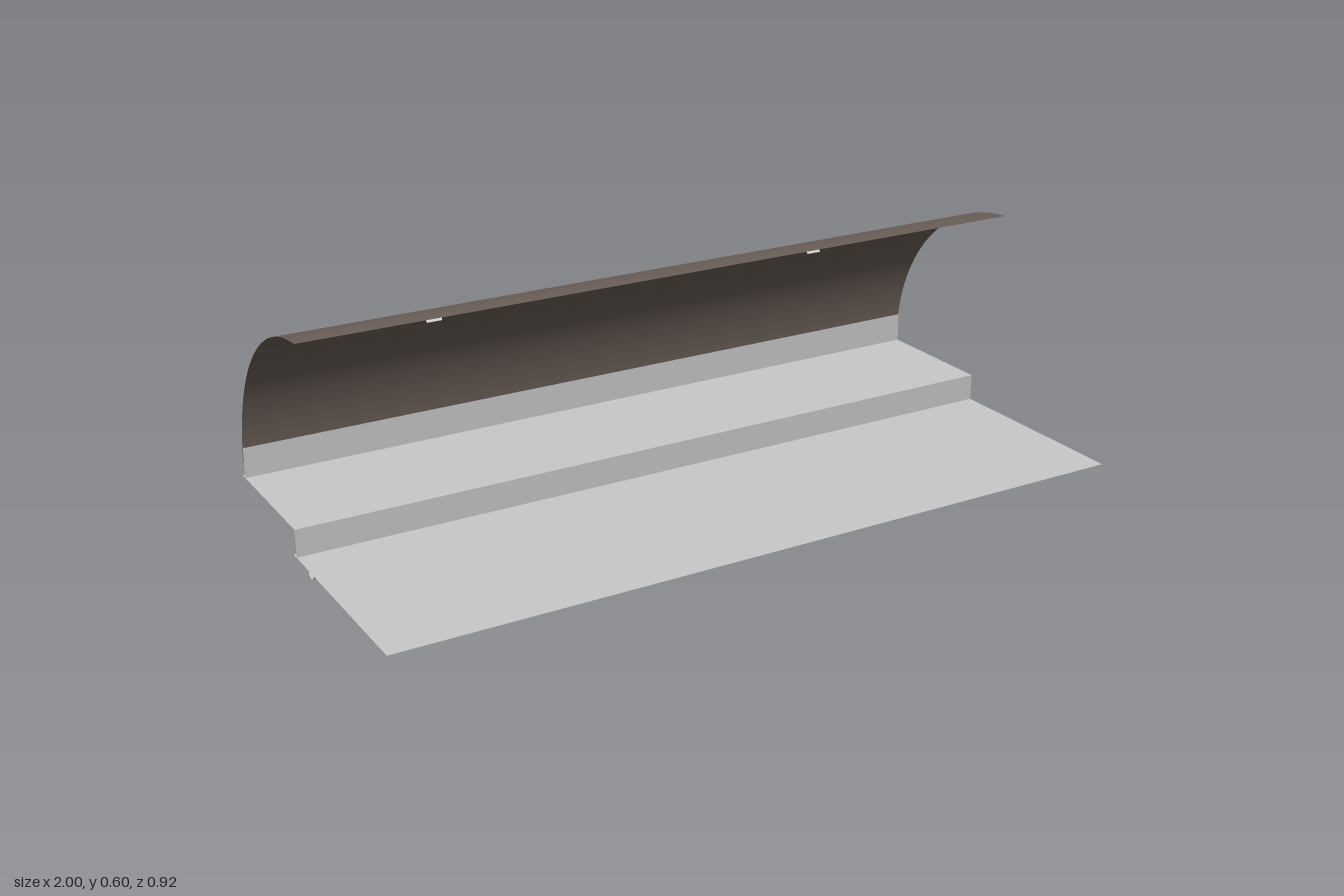
import * as THREE from 'three';

const material = (name, color) => {
  const m = new THREE.MeshStandardMaterial({ color, side: THREE.DoubleSide });
  m.name = name;
  return m;
};

export function createModel() {
  const model = new THREE.Group();
  const grey = material('sheet grey', 0xc8c8c8);
  const brown = material('shell brown', 0x6c6059);
  const pale = material('clip pale grey', 0xdedcd8);

  const add = (name, geometry, mat) => {
    const mesh = new THREE.Mesh(geometry, mat);
    mesh.name = name;
    model.add(mesh);
    return mesh;
  };

  // Thin full-width sheet following a profile of [z, y] points
  const sheet = (name, profile, mat) => {
    const geometry = new THREE.PlaneGeometry(2, 1, 1, profile.length - 1);
    const p = geometry.attributes.position;
    for (let i = 0; i < p.count; i++) {
      const [z, y] = profile[Math.floor(i / 2)];
      p.setXYZ(i, p.getX(i), y, z);
    }
    geometry.computeVertexNormals();
    return add(name, geometry, mat);
  };

  // Two stepped shelves, each with a riser standing just inside its rear lip
  sheet('lowerShelf', [[-0.11, 0.038], [0.455, 0.038]], grey);
  sheet('lowerRiser', [[-0.09, 0.038], [-0.09, 0.11]], grey);
  sheet('upperShelf', [[-0.46, 0.11], [-0.09, 0.11]], grey);
  sheet('rearRiser', [[-0.438, 0.11], [-0.438, 0.19]], grey);

  // Curved shell, overlapping the outside of the rear riser
  const radius = 0.467, centreZ = 0.023, centreY = 0.133;
  const start = Math.asin((0.155 - centreY) / radius);
  const end = Math.acos((centreZ - 0.01) / radius);
  const arc = [];
  for (let i = 0; i <= 40; i++) {
    const a = start + (end - start) * i / 40;
    arc.push([centreZ - radius * Math.cos(a), centreY + radius * Math.sin(a)]);
  }
  sheet('curvedShell', arc, brown);

  // Small clips set through the shell; the outline is in z and y
  const outline = [[-0.243, 0.523], [-0.274, 0.504], [-0.272, 0.498],
    [-0.255, 0.502], [-0.247, 0.498], [-0.251, 0.507]];
  const clipShape = new THREE.Shape(outline.map(([z, y]) => new THREE.Vector2(-z, y)));
  for (const [name, x] of [['leftClip', 0.557], ['rightClip', -0.557]]) {
    const geometry = new THREE.ExtrudeGeometry(clipShape, { depth: 0.04, bevelEnabled: false });
    geometry.translate(0, 0, -0.02).rotateY(Math.PI / 2);
    add(name, geometry, pale).position.x = x;
  }

  // Open tube under the lower shelf
  const tube = new THREE.CylinderGeometry(0.016, 0.016, 0.585, 32, 1, true);
  tube.rotateZ(Math.PI / 2);
  add('tube', tube, grey).position.set(-0.6925, 0.016, -0.04);

  return model;
}
